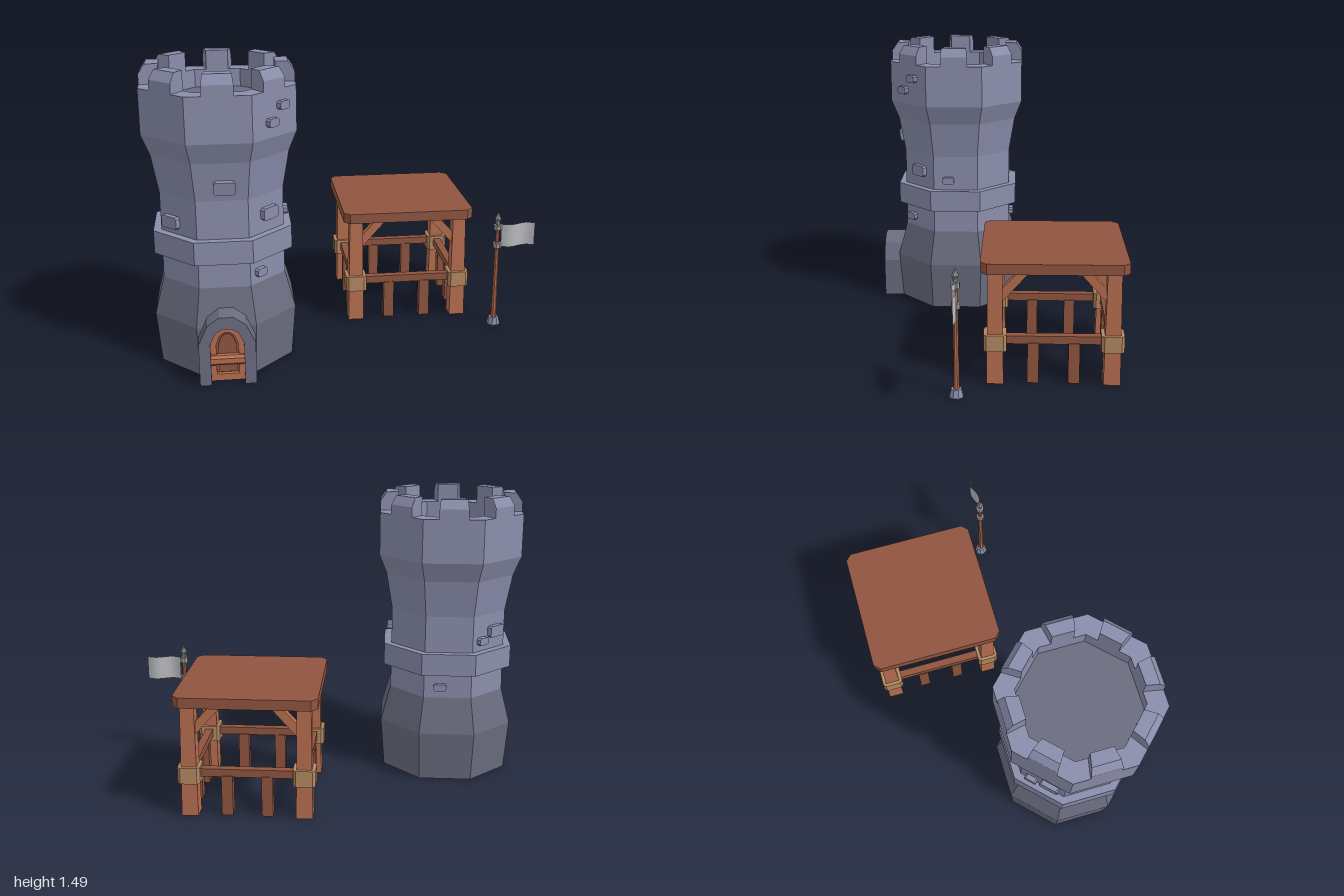
import * as THREE from 'three';

const mat = (name, color) => {
  const m = new THREE.MeshStandardMaterial({ color });
  m.name = name;
  return m;
};

export function createModel() {
  const stone = mat('lightStone', 0x8b8eac);
  const darkStone = mat('darkStone', 0x6b6d80);
  const wood = mat('lightWood', 0xb86e50);
  const darkWood = mat('darkWood', 0x905540);
  const tan = mat('wrapTan', 0xb58a62);
  const metal = mat('metalGrey', 0x9a9ca3);
  const cloth = mat('flagCloth', 0xb9babd);
  cloth.side = THREE.DoubleSide;

  const root = new THREE.Group();
  root.name = 'watchtowerOutpost';

  // Faceted normals for hard-edged parts
  const flat = (g) => {
    const f = g.index ? g.toNonIndexed() : g;
    f.computeVertexNormals();
    return f;
  };
  const add = (parent, name, geo, material, x = 0, y = 0, z = 0) => {
    const m = new THREE.Mesh(flat(geo), material);
    m.name = name;
    m.position.set(x, y, z);
    parent.add(m);
    return m;
  };
  const group = (parent, name, x = 0, y = 0, z = 0) => {
    const g = new THREE.Group();
    g.name = name;
    g.position.set(x, y, z);
    parent.add(g);
    return g;
  };
  const shapeOf = (pts) => new THREE.Shape(pts.map(([x, y]) => new THREE.Vector2(x, y)));
  const extrude = (shape, depth) => new THREE.ExtrudeGeometry(shape, { depth, bevelEnabled: false });
  // Rectangle with cut corners, extruded along z and centred
  const cutBox = (w, h, d, c) => {
    const a = w / 2, b = h / 2;
    return extrude(shapeOf([
      [-a + c, -b], [a - c, -b], [a, -b + c], [a, b - c],
      [a - c, b], [-a + c, b], [-a, b - c], [-a, -b + c],
    ]), d).translate(0, 0, -d / 2);
  };
  // Eight-sided ring with flats on the axes, from [apothem, y] pairs
  const octagon = (pts) => new THREE.LatheGeometry(
    pts.map(([r, y]) => new THREE.Vector2(r / Math.cos(Math.PI / 8), y)), 8, Math.PI / 8);

  // ---------- Tower ----------
  const tower = group(root, 'tower', -0.635, 0, 0.22);
  add(tower, 'towerBase', octagon([[0, 0], [0.325, 0], [0.345, 0.26], [0.297, 0.445]]), darkStone);
  add(tower, 'towerShaft', octagon([
    [0.297, 0.445], [0.295, 0.575], [0.295, 0.69], [0.295, 0.88], [0.327, 1.07],
    [0.365, 1.17], [0.365, 1.39], [0.273, 1.39], [0.273, 1.3],
  ]), stone);
  add(tower, 'towerBand', octagon([[0.29, 0.575], [0.333, 0.575], [0.333, 0.69], [0.29, 0.69]]), stone);
  add(tower, 'towerFloor', octagon([[0.275, 1.3], [0, 1.3]]), darkStone);

  // Merlons: one on each wall, narrowing toward the centre
  for (let i = 0; i < 8; i++) {
    const g = extrude(shapeOf([
      [0.273, 1.385], [0.365, 1.385], [0.365, 1.44], [0.335, 1.485], [0.273, 1.485],
    ]), 0.145).translate(0, 0, -0.0725).rotateY(-Math.PI / 2);
    const p = g.attributes.position;
    for (let k = 0; k < p.count; k++) p.setX(k, p.getX(k) * p.getZ(k) / 0.365);
    add(tower, 'merlon', g, stone).rotation.y = i * Math.PI / 4;
  }

  // Raised bricks: wall angle in eighths, shift along wall, y, wall distance, width, height, tilt
  const bricks = [
    [0, 0.015, 0.95, 0.308, 0.1, 0.065, 0.16],
    [-1, -0.04, 0.75, 0.295, 0.1, 0.06, 0],
    [1, 0.01, 0.785, 0.295, 0.1, 0.06, 0],
    [1, -0.06, 0.503, 0.295, 0.065, 0.04, 0],
    [1, -0.03, 1.245, 0.365, 0.065, 0.04, 0],
    [1, 0.045, 1.315, 0.365, 0.065, 0.04, 0],
    [2, -0.04, 0.745, 0.295, 0.065, 0.04, 0],
    [4, -0.04, 0.503, 0.295, 0.065, 0.04, 0],
    [-3, 0.04, 0.785, 0.295, 0.1, 0.06, 0],
    [-3, -0.06, 0.745, 0.295, 0.065, 0.04, 0],
  ];
  for (const [e, s, y, r, w, h, tilt] of bricks) {
    const wall = group(tower, 'brickMount');
    wall.rotation.y = e * Math.PI / 4;
    add(wall, 'brick', cutBox(w, h, 0.05, 0.009), stone, s, y, r).rotation.x = tilt;
  }

  // Doorway: stone arch, wooden frame, dark panel and bar
  const archPts = (w, side, mid, top, y0 = 0) => [
    [-w, y0], [w, y0], [w, side], [w * 0.68, mid], [w * 0.25, top],
    [-w * 0.25, top], [-w * 0.68, mid], [-w, side],
  ];
  const ring = (outer, inner, depth) => {
    const s = shapeOf(outer);
    s.holes.push(new THREE.Path(inner.map(([x, y]) => new THREE.Vector2(x, y))));
    return extrude(s, depth);
  };
  const door = group(tower, 'doorway');
  const opening = archPts(0.08, 0.215, 0.27, 0.29);
  const arch = [...archPts(0.135, 0.215, 0.31, 0.35).slice(1), [-0.135, 0], [-0.08, 0],
    ...opening.slice(1).reverse()];
  add(door, 'doorArch', extrude(shapeOf(arch), 0.135), darkStone, 0, 0, 0.3);
  add(door, 'doorFrame', ring(archPts(0.08, 0.215, 0.27, 0.29), archPts(0.053, 0.19, 0.235, 0.252, 0.035), 0.07),
    wood, 0, 0, 0.32);
  add(door, 'doorPanel', extrude(shapeOf(archPts(0.06, 0.2, 0.24, 0.256, 0.03)), 0.05), darkWood, 0, 0, 0.32);
  add(door, 'doorInset', extrude(shapeOf(archPts(0.044, 0.18, 0.222, 0.238, 0.04)), 0.008), darkWood, 0, 0, 0.37);
  add(door, 'doorBar', cutBox(0.045, 0.05, 0.16, 0.012).rotateY(Math.PI / 2), wood, 0, 0.113, 0.39);

  // ---------- Open shelter ----------
  const shelter = group(root, 'shelter', 0.346, 0, -0.308);
  add(shelter, 'roof', cutBox(0.695, 0.7, 0.052, 0.032).rotateX(Math.PI / 2), darkWood, 0, 0.591, 0);
  for (const x of [-0.28, 0.28]) for (const z of [-0.28, 0.28]) {
    const post = new THREE.CylinderGeometry(0.034 * Math.SQRT2, 0.041 * Math.SQRT2, 0.57, 4).rotateY(Math.PI / 4);
    add(shelter, 'cornerPost', post, wood, x, 0.285, z);
    add(shelter, 'postWrap', cutBox(0.11, 0.11, 0.083, 0.014).rotateX(Math.PI / 2), tan, x, 0.213, z);
  }
  for (let i = 0; i < 4; i++) {
    const side = group(shelter, 'shelterSide');
    side.rotation.y = i * Math.PI / 2;
    add(side, 'rail', new THREE.BoxGeometry(0.52, 0.04, 0.04), darkWood, 0, 0.22, 0.28);
    for (const s of [-1, 1]) {
      add(side, 'shortPost', new THREE.BoxGeometry(0.055, 0.205, 0.05), darkWood, s * 0.098, 0.1025, 0.28);
      const brace = shapeOf([[-0.25, 0.41], [-0.11, 0.568], [-0.167, 0.568], [-0.25, 0.475]]);
      add(side, 'brace', extrude(brace, 0.04), wood, 0, 0, s > 0 ? 0.3 : 0.26)
        .rotation.y = s > 0 ? Math.PI : 0;
      side.children.at(-1).position.z = s > 0 ? 0.3 : 0.26;
    }
  }

  // ---------- Flagpole ----------
  const pole = group(root, 'flagpole', 0.798, 0, 0.148);
  const turned = (name, top, bottom, y0, y1, material) => add(pole, name,
    new THREE.CylinderGeometry(top, bottom, y1 - y0, 8).rotateY(Math.PI / 8), material, 0, (y0 + y1) / 2, 0);
  turned('poleFoot', 0.026, 0.036, 0, 0.04, stone);
  turned('poleShaft', 0.01, 0.015, 0.04, 0.575, wood);
  for (const y of [0.44, 0.54]) turned('poleRing', 0.022, 0.022, y, y + 0.026, metal);
  turned('finialCollar', 0.013, 0.013, 0.572, 0.585, metal);
  turned('finialBulb', 0.018, 0.01, 0.585, 0.6, metal);
  turned('finialTip', 0.003, 0.018, 0.6, 0.632, metal);

  // Waving flag sheet
  const sheet = new THREE.PlaneGeometry(0.182, 0.125, 10, 1);
  const p = sheet.attributes.position;
  for (let k = 0; k < p.count; k++) {
    const t = (p.getX(k) + 0.091) / 0.182;
    p.setZ(k, 0.014 * Math.sin(t * Math.PI * 2));
  }
  sheet.computeVertexNormals();
  const flag = new THREE.Mesh(sheet, cloth);
  flag.name = 'flag';
  flag.position.set(0.111, 0.506, 0);
  pole.add(flag);

  return root;
}
